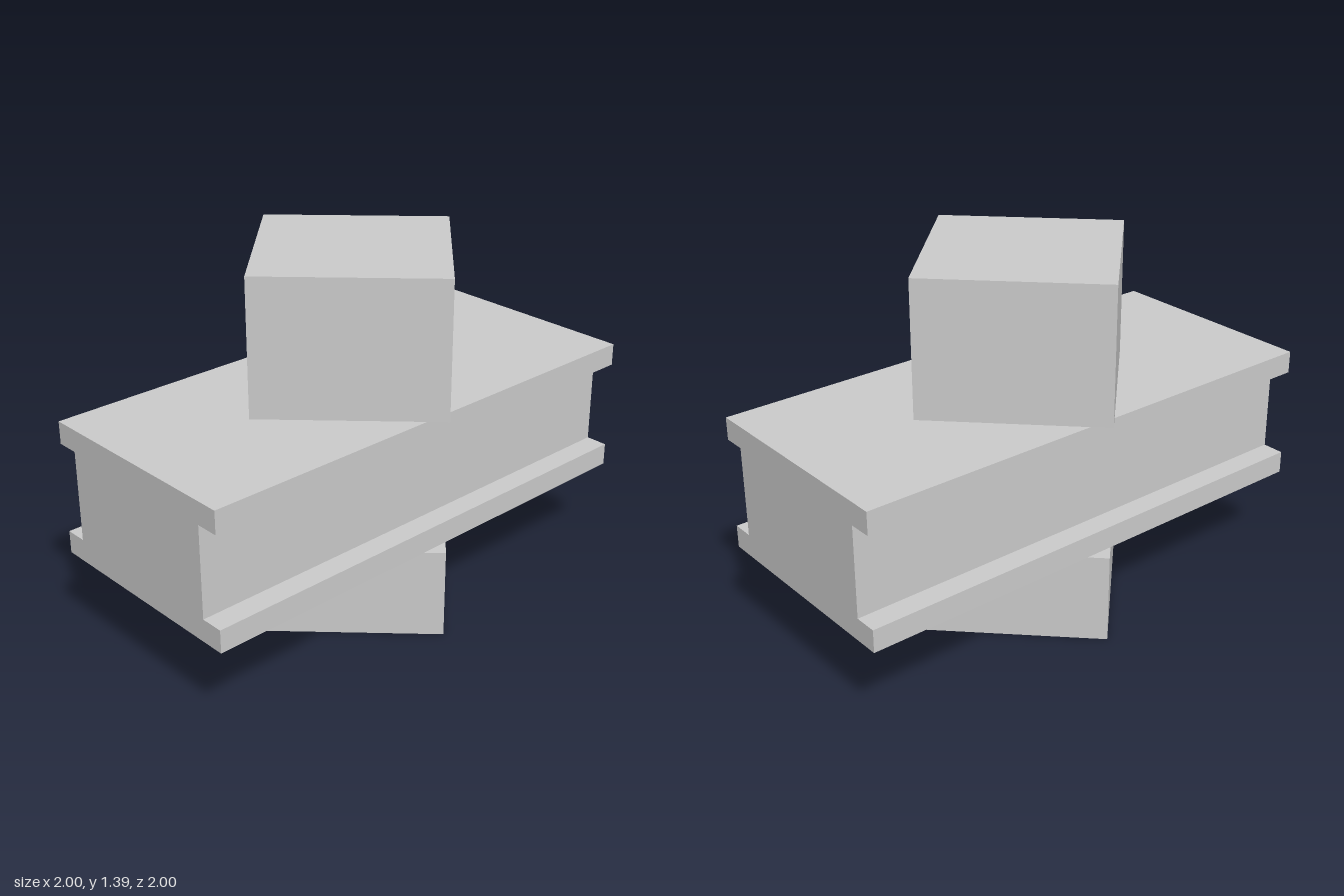
import * as THREE from 'three';

const material = new THREE.MeshStandardMaterial({ color: 0xcccccc, flatShading: true });

function addBlock(group, name, width, bottom, top) {
  const mesh = new THREE.Mesh(new THREE.BoxGeometry(width, top - bottom, width), material);
  mesh.name = name;
  mesh.position.y = (bottom + top) / 2;
  group.add(mesh);
}

export function createModel() {
  const group = new THREE.Group();
  group.name = 'crossedBeam';

  // Square blocks below and above the beam
  addBlock(group, 'lowerBlock', 0.693, 0, 0.347);
  addBlock(group, 'upperBlock', 0.693, 0.867, 1.387);

  // I-section beam: flanges overhang the web on the long sides, ends are flush
  const flange = 0.434, web = 0.347, length = 1.96;
  const right = [[flange, 0.347], [flange, 0.434], [web, 0.434], [web, 0.781], [flange, 0.781], [flange, 0.867]];
  const left = right.map(([x, y]) => [-x, y]).reverse();
  const section = new THREE.Shape([...right, ...left].map(([x, y]) => new THREE.Vector2(x, y)));
  const geometry = new THREE.ExtrudeGeometry(section, { depth: length, bevelEnabled: false });
  geometry.translate(0, 0, -length / 2);
  const beam = new THREE.Mesh(geometry, material);
  beam.name = 'beam';
  beam.rotation.y = -Math.PI / 4;
  group.add(beam);

  return group;
}
